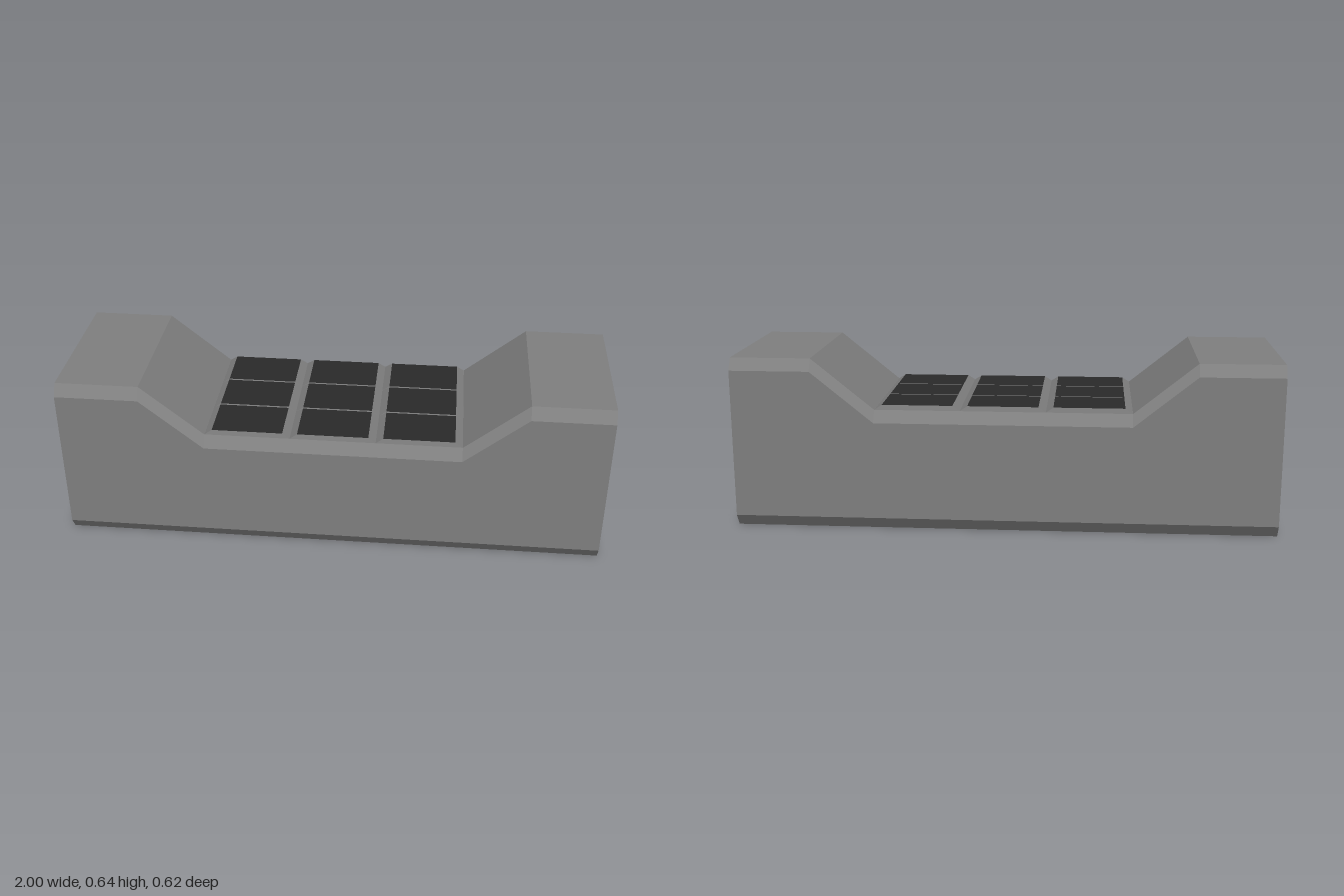
import * as THREE from 'three';

const grey = new THREE.MeshStandardMaterial({ color: 0x808080 });
grey.name = 'grey casing';
const dark = new THREE.MeshStandardMaterial({ color: 0x2a2a2a });
dark.name = 'dark panel';

// Chamfered rectangular cross-section at x, running from +y towards +z
function ring(x, bottom, top, halfZ, cutZ, cutY) {
  const z = halfZ - cutZ;
  return [
    [-z, top], [z, top], [halfZ, top - cutY], [halfZ, bottom + cutY],
    [z, bottom], [-z, bottom], [-halfZ, bottom + cutY], [-halfZ, top - cutY],
  ].map(([pz, py]) => new THREE.Vector3(x, py, pz));
}

// Skin a list of rings ordered by position along the hull, closing both ends
function loft(rings) {
  const pts = [];
  const n = rings[0].length;
  for (let i = 0; i < rings.length - 1; i++) {
    const p = rings[i], q = rings[i + 1];
    for (let j = 0; j < n; j++) {
      const k = (j + 1) % n;
      pts.push(p[j], p[k], q[j], p[k], q[k], q[j]);
    }
  }
  const first = rings[0], last = rings[rings.length - 1];
  for (let j = 1; j < n - 1; j++) {
    pts.push(first[0], first[j + 1], first[j], last[0], last[j], last[j + 1]);
  }
  const geo = new THREE.BufferGeometry().setFromPoints(pts);
  geo.computeVertexNormals();
  return geo;
}

// Tile with sloping sides: the top is drawn in from the base
function tileGeometry(width, height, depth, insetX, insetZ) {
  const geo = new THREE.BoxGeometry(width, height, depth).toNonIndexed();
  const pos = geo.attributes.position;
  for (let i = 0; i < pos.count; i++) {
    if (pos.getY(i) < 0) continue;
    pos.setX(i, pos.getX(i) - Math.sign(pos.getX(i)) * insetX);
    pos.setZ(i, pos.getZ(i) - Math.sign(pos.getZ(i)) * insetZ);
  }
  geo.computeVertexNormals();
  return geo;
}

export function createModel() {
  const model = new THREE.Group();
  model.name = 'panelHull';

  // Hull: raised ends, sunken middle, recessed end faces
  const outer = (x, top) => ring(x, 0, top, 0.311, 0.027, 0.044);
  const inner = (x) => ring(x, 0.028, 0.61, 0.295, 0.018, 0.028);
  const hull = new THREE.Mesh(loft([
    inner(-0.97), inner(-1),
    outer(-1, 0.637), outer(-0.695, 0.637), outer(-0.465, 0.45),
    outer(0.475, 0.45), outer(0.705, 0.637), outer(1, 0.637),
    inner(1), inner(0.97),
  ]), grey);
  hull.name = 'hull';
  model.add(hull);

  // Three by three panel tiles in the sunken middle
  const tiles = new THREE.Group();
  tiles.name = 'panelTiles';
  const geo = tileGeometry(0.313, 0.018, 0.189, 0.027, 0.004);
  const sides = [grey, grey, dark, grey, grey, grey];
  for (let col = -1; col <= 1; col++) {
    for (let row = -1; row <= 1; row++) {
      const tile = new THREE.Mesh(geo, sides);
      tile.name = 'panelTile';
      tile.position.set(0.005 + col * 0.313, 0.459, row * 0.189);
      tiles.add(tile);
    }
  }
  model.add(tiles);
  return model;
}
